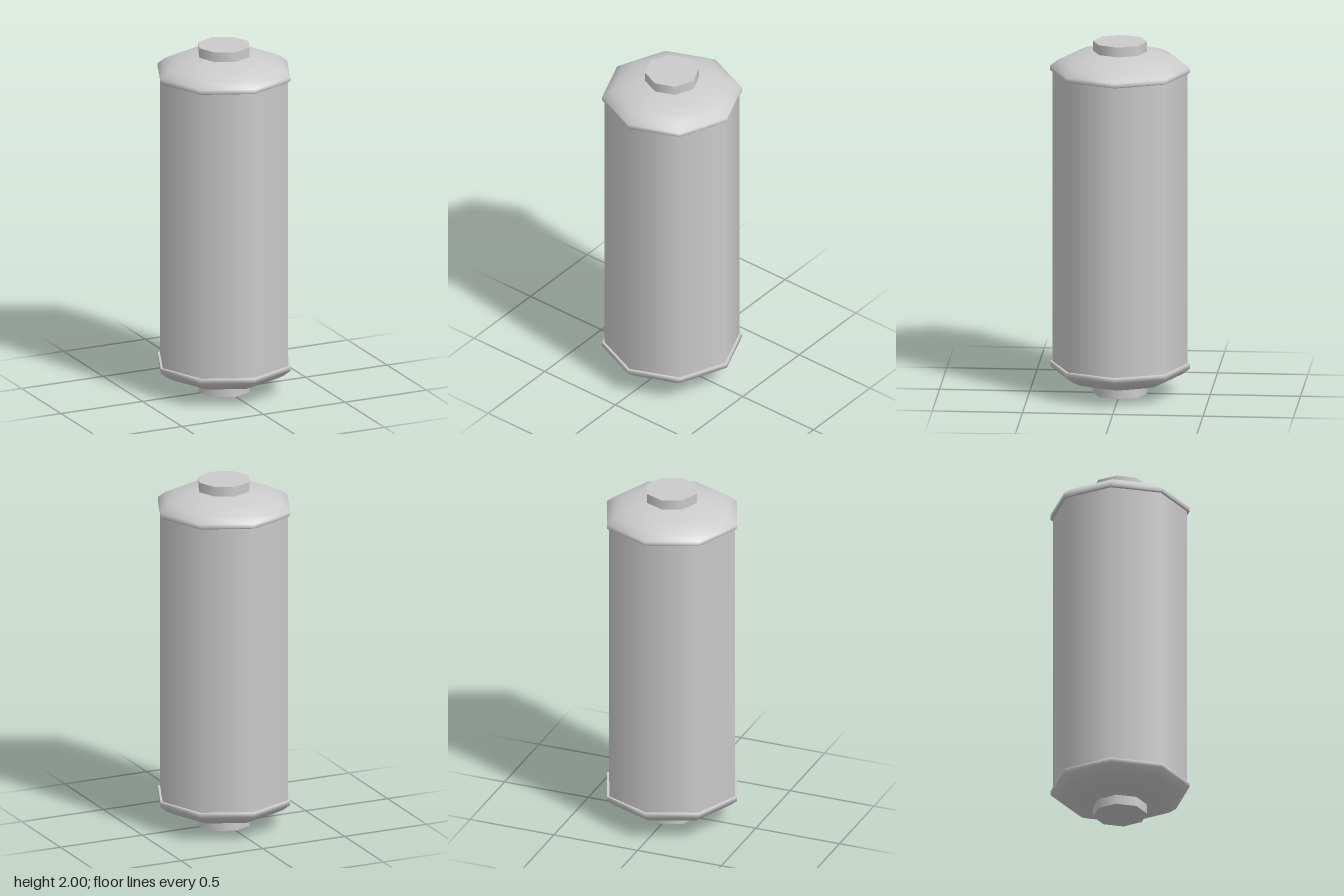
import * as THREE from 'three';

const SIDES = 8;
const HEIGHT = 2;
const material = new THREE.MeshStandardMaterial({ color: 0xcccccc });

function part(name, geometry, y = 0) {
  const mesh = new THREE.Mesh(geometry, material);
  mesh.name = name;
  mesh.position.y = y;
  return mesh;
}

// Smooth eight-sided surface turned from [radius, height] pairs, bottom to top
function turned(points) {
  return new THREE.LatheGeometry(points.map(([r, y]) => new THREE.Vector2(r, y)), SIDES);
}

// Domed end with an overhanging rim and a short stub, heights from the model's middle
function createEnd(name) {
  const end = new THREE.Group();
  end.name = name;
  end.add(part('rimLip', turned([[0.36, 0.825], [0.388, 0.825]])));
  end.add(part('dome', turned([
    [0.382, 0.825], [0.388, 0.831], [0.388, 0.853], [0.345, 0.887],
    [0.29, 0.913], [0.21, 0.936], [0.14, 0.946],
  ])));
  end.add(part('stub', new THREE.CylinderGeometry(0.15, 0.15, 0.08, SIDES), 0.96));
  return end;
}

export function createModel() {
  const model = new THREE.Group();
  model.name = 'canister';

  // Straight barrel
  model.add(part('body', new THREE.CylinderGeometry(0.375, 0.375, 1.68, SIDES), HEIGHT / 2));

  // Matching ends, the lower one turned over
  const top = createEnd('topEnd');
  const bottom = createEnd('bottomEnd');
  bottom.rotation.x = Math.PI;
  for (const end of [top, bottom]) {
    end.position.y = HEIGHT / 2;
    model.add(end);
  }
  return model;
}
